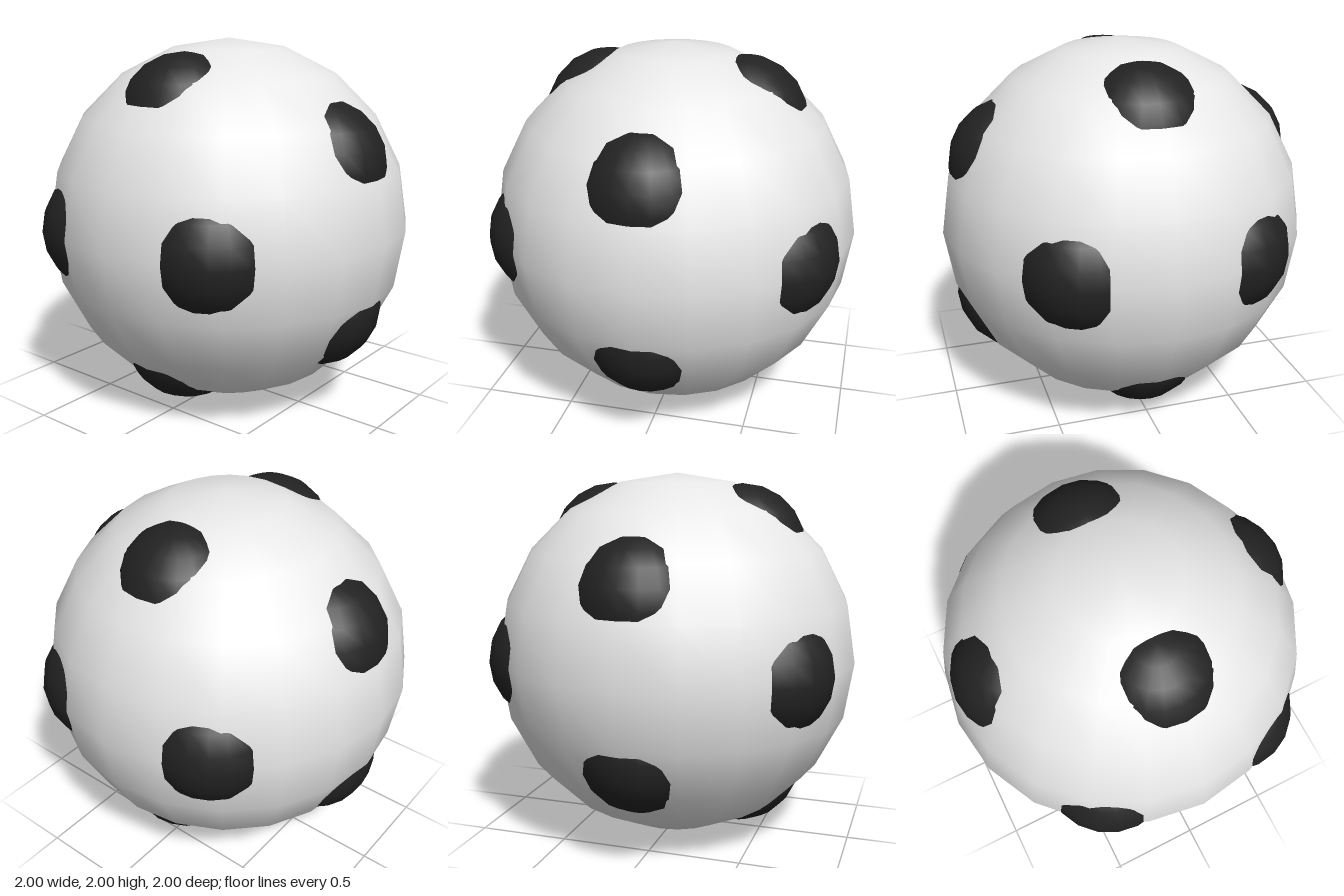
import * as THREE from 'three';

export function createModel() {
  const white = new THREE.MeshStandardMaterial({ name: 'white', color: 0xeeeeee });
  const black = new THREE.MeshStandardMaterial({ name: 'black', color: 0x222222 });

  const ball = new THREE.Group();
  ball.name = 'ball';
  ball.position.y = 1;

  // Main round body
  const body = new THREE.Mesh(new THREE.SphereGeometry(1, 20, 10), white);
  body.name = 'body';
  ball.add(body);

  // Twelve bulging patches on the corners of an icosahedron
  const patchGeometry = new THREE.SphereGeometry(0.35, 20, 10);
  const golden = (1 + Math.sqrt(5)) / 2;
  const centreDistance = 0.7;
  for (const a of [-1, 1]) {
    for (const b of [-golden, golden]) {
      for (const corner of [[b, a, 0], [0, b, a], [a, 0, b]]) {
        const patch = new THREE.Mesh(patchGeometry, black);
        patch.name = 'patch';
        patch.position.set(...corner).setLength(centreDistance);
        ball.add(patch);
      }
    }
  }

  const model = new THREE.Group();
  model.name = 'patchedBall';
  model.add(ball);
  return model;
}
